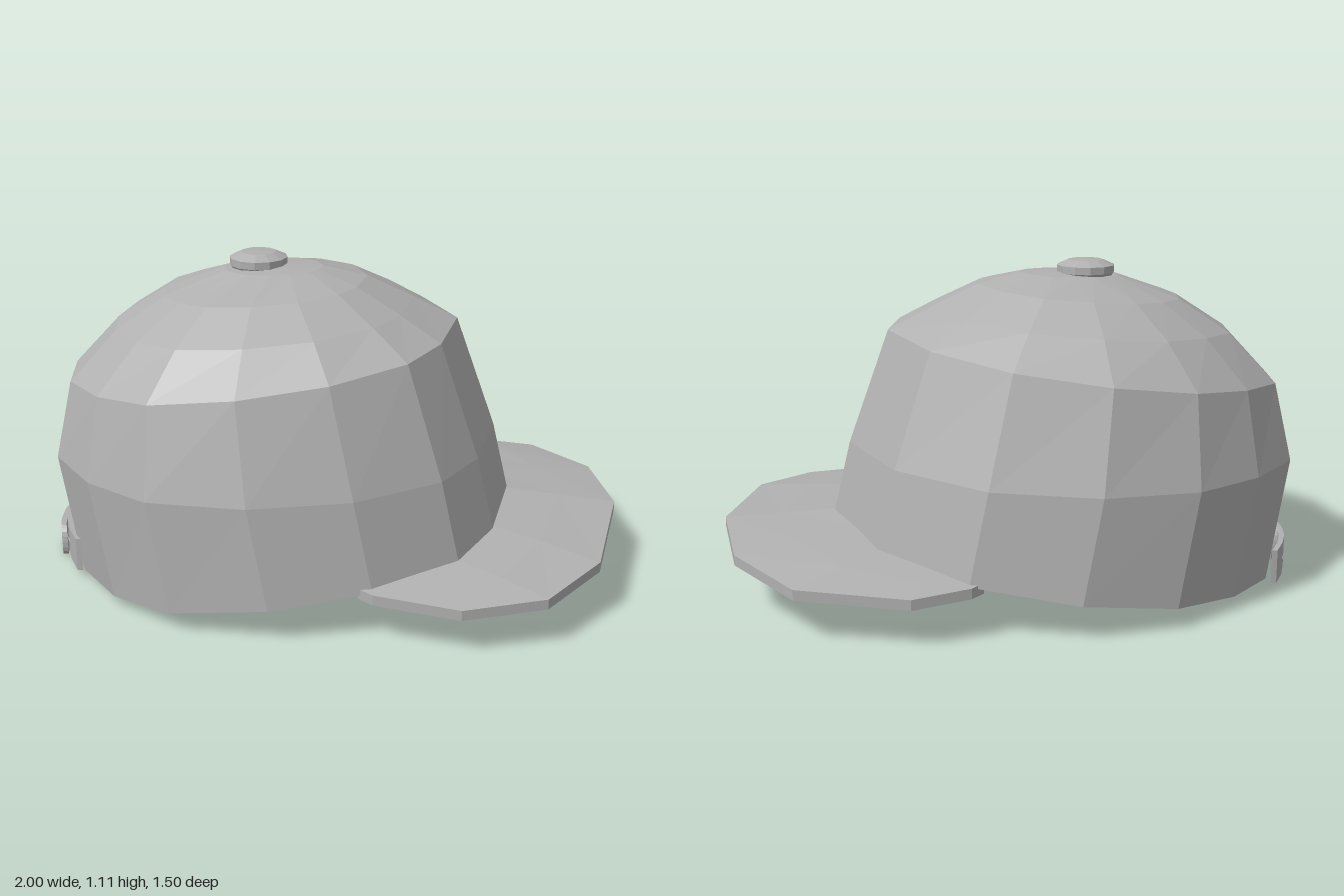
import * as THREE from 'three';

const fabric = new THREE.MeshStandardMaterial({ color: 0xb0b0b0, flatShading: true, side: THREE.DoubleSide });
fabric.name = 'grey fabric';

function part(name, geometry) {
  const mesh = new THREE.Mesh(geometry, fabric);
  mesh.name = name;
  return mesh;
}

// Flat-shaded geometry from a list of triangles and quads
function facesToGeometry(faces) {
  const pos = [];
  for (const f of faces)
    for (let i = 1; i < f.length - 1; i++) pos.push(...f[0], ...f[i], ...f[i + 1]);
  const g = new THREE.BufferGeometry();
  g.setAttribute('position', new THREE.Float32BufferAttribute(pos, 3));
  g.computeVertexNormals();
  return g;
}

// Crown: one faceted outline, scaled to each ring; the two rear panels stop above the opening
function crown() {
  const outline = [[0.62, -0.06], [0.47, -0.43], [0.18, -0.68], [-0.18, -0.75], [-0.51, -0.68],
    [-0.75, -0.51], [-0.93, -0.29], [-0.97, 0], [-0.92, 0.28], [-0.75, 0.51], [-0.52, 0.67],
    [-0.18, 0.72], [0.16, 0.66], [0.44, 0.49], [0.56, 0.28]];
  // front x, back x, half width, front y, back y
  const rings = [
    [0.62, -0.91, 0.735, 0.24, 0.01],
    [0.56, -0.98, 0.715, 0.49, 0.44],
    [0.42, -0.92, 0.63, 0.88, 0.70],
    [0.27, -0.76, 0.49, 0.955, 0.87],
    [0.11, -0.59, 0.33, 1.03, 0.98],
    [-0.04, -0.38, 0.13, 1.065, 1.055],
  ].map(([fx, bx, hw, fy, by]) => outline.map(([x, z]) => {
    const u = (x + 0.175) / 0.795, t = (u + 1) / 2;
    return [bx + (fx - bx) * t, by + (fy - by) * t, z / 0.735 * hw];
  }));
  const apex = [-0.24, 1.07, -0.01], n = outline.length, faces = [];
  for (let i = 0; i < n; i++) {
    const j = (i + 1) % n;
    for (let r = 0; r < rings.length - 1; r++) {
      if (r === 0 && (i === 6 || i === 7)) continue;
      faces.push([rings[r][i], rings[r][j], rings[r + 1][j], rings[r + 1][i]]);
    }
    faces.push([rings[5][i], rings[5][j], apex]);
  }
  return part('crown', facesToGeometry(faces));
}

// Brim: arched thin plate between the crown's front edge and an outer edge
function brim() {
  const inner = [[0.15, -0.67], [0.3, -0.57], [0.44, -0.43], [0.53, -0.24], [0.6, -0.05],
    [0.54, 0.25], [0.43, 0.48], [0.29, 0.56], [0.13, 0.66]];
  const outer = [[0.19, -0.7], [0.38, -0.75], [0.74, -0.65], [0.94, -0.38], [1, -0.02],
    [0.91, 0.43], [0.73, 0.66], [0.46, 0.745], [0.18, 0.69]];
  const thick = 0.035;
  const top = (x, z) => [x, 0.25 - 0.08 * (z / 0.75) ** 2 - 0.075 * Math.max(0, x - 0.6), z];
  const sections = inner.map(([ix, iz], i) => {
    const [ox, oz] = outer[i];
    const upper = [0, 0.5, 1].map(t => top(ix + (ox - ix) * t, iz + (oz - iz) * t));
    const lower = upper.map(([x, y, z]) => [x, y - thick, z]).reverse();
    return [...upper, ...lower];
  });
  const faces = [];
  for (let i = 0; i < sections.length - 1; i++)
    for (let k = 0; k < 6; k++) {
      const a = sections[i], b = sections[i + 1], m = (k + 1) % 6;
      faces.push([a[k], b[k], b[m], a[m]]);
    }
  const s = sections[0], e = sections[sections.length - 1];
  faces.push([s[0], s[1], s[4], s[5]], [s[1], s[2], s[3], s[4]]);
  faces.push([e[5], e[4], e[1], e[0]], [e[4], e[3], e[2], e[1]]);
  return part('brim', facesToGeometry(faces));
}

// Strap: short punched segments with a rounded end, bent round the back of the head
function strap(name, side, y0, y1, x0) {
  const group = new THREE.Group();
  group.name = name;
  const step = 0.08, count = 6, mid = (y0 + y1) / 2, start = -0.31;
  for (let i = 0; i < count; i++) {
    const a = start + i * step, b = a + step, last = i === count - 1;
    const shape = new THREE.Shape();
    shape.moveTo(a, y0);
    if (last) {
      shape.lineTo(a + 0.04, y0);
      shape.quadraticCurveTo(b, y0, b, mid);
      shape.quadraticCurveTo(b, y1, a + 0.04, y1);
    } else {
      shape.lineTo(b, y0);
      shape.lineTo(b, y1);
    }
    shape.lineTo(a, y1);
    shape.closePath();
    if (i > 0) {
      const hole = new THREE.Path();
      hole.absarc((a + b) / 2 - (last ? 0.01 : 0), mid, 0.016, 0, Math.PI * 2, true);
      shape.holes.push(hole);
    }
    const g = new THREE.ExtrudeGeometry(shape, { depth: 0.02, bevelEnabled: false, curveSegments: 5 });
    const p = g.attributes.position;
    for (let v = 0; v < p.count; v++) {
      const s = p.getX(v), d = p.getZ(v);
      // mirrored straps also swap depth so the faces keep their outward order
      const depth = side > 0 ? d : 0.02 - d;
      p.setXYZ(v, x0 + s * s - depth, p.getY(v), s * side);
    }
    g.computeVertexNormals();
    group.add(part('strapSegment', g));
  }
  return group;
}

// Button: low faceted dome on the apex
function button() {
  const profile = [[0.09, 0], [0.1, 0.015], [0.1, 0.04], [0.06, 0.058], [0, 0.062]]
    .map(([r, y]) => new THREE.Vector2(r, y));
  const mesh = part('button', new THREE.LatheGeometry(profile, 12));
  mesh.position.set(-0.265, 1.05, -0.02);
  return mesh;
}

export function createModel() {
  const model = new THREE.Group();
  model.name = 'cap';
  model.add(crown(), brim(), button(),
    strap('outerStrap', 1, 0.005, 0.125, -0.98),
    strap('innerStrap', -1, 0.03, 0.15, -0.955));
  return model;
}
